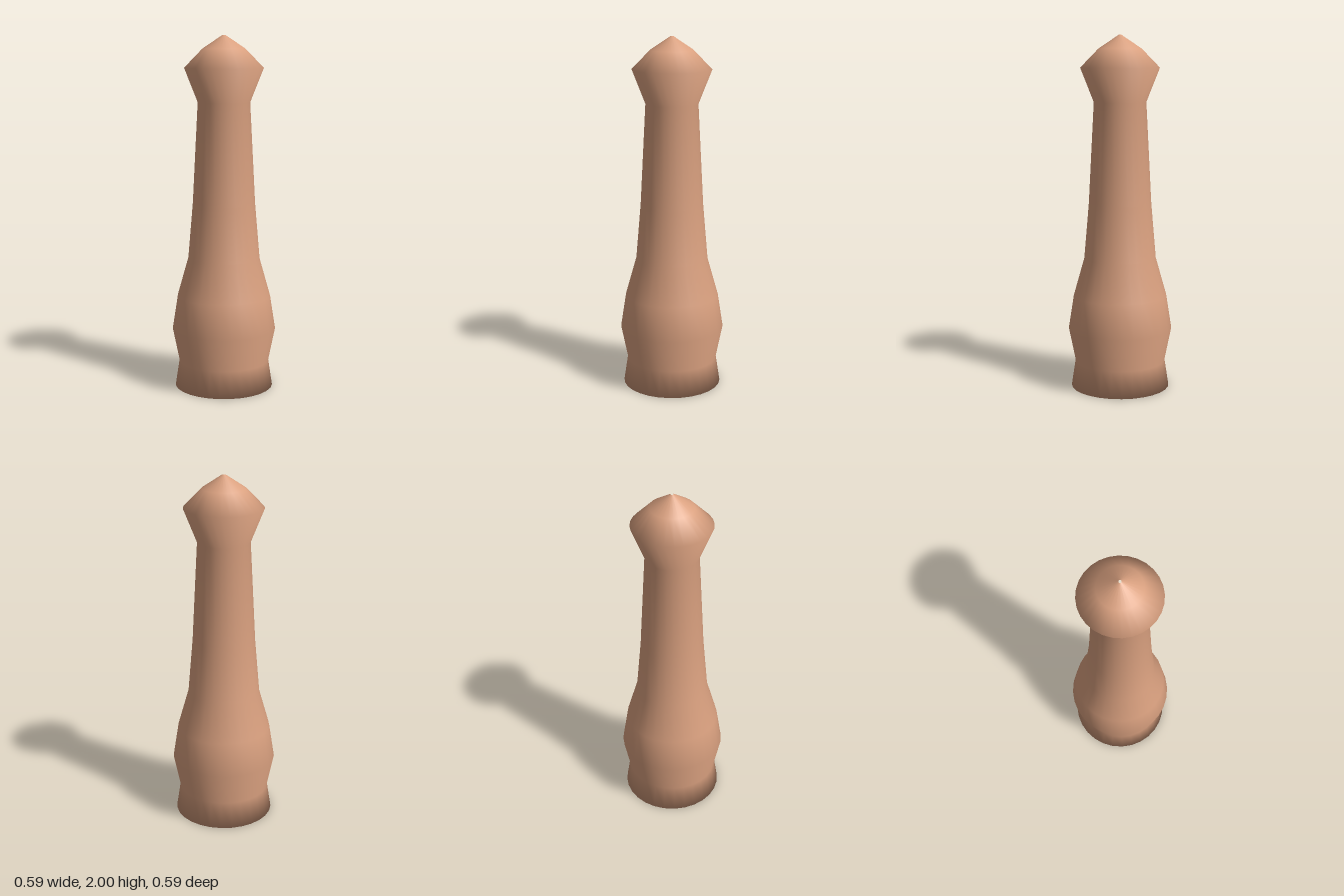
import * as THREE from 'three';

export function createModel() {
  const group = new THREE.Group();
  group.name = 'turnedPiece';

  // Turned profile from the underside up to the pointed knob: [radius, height]
  const profile = [
    [0.008, 0], [0.28, 0],                      // flat underside
    [0.257, 0.15], [0.295, 0.338],              // foot and bulge
    [0.265, 0.53], [0.204, 0.746],              // shoulder
    [0.177, 1.06], [0.147, 1.63],               // tapering shaft
    [0.222, 1.82], [0.12, 1.925], [0.008, 2],   // knob
  ].map(([r, y]) => new THREE.Vector2(r, y));

  const body = new THREE.Mesh(
    new THREE.LatheGeometry(profile, 28),
    new THREE.MeshStandardMaterial({ color: 0xd9a07f })
  );
  body.name = 'turnedBody';
  group.add(body);
  return group;
}
